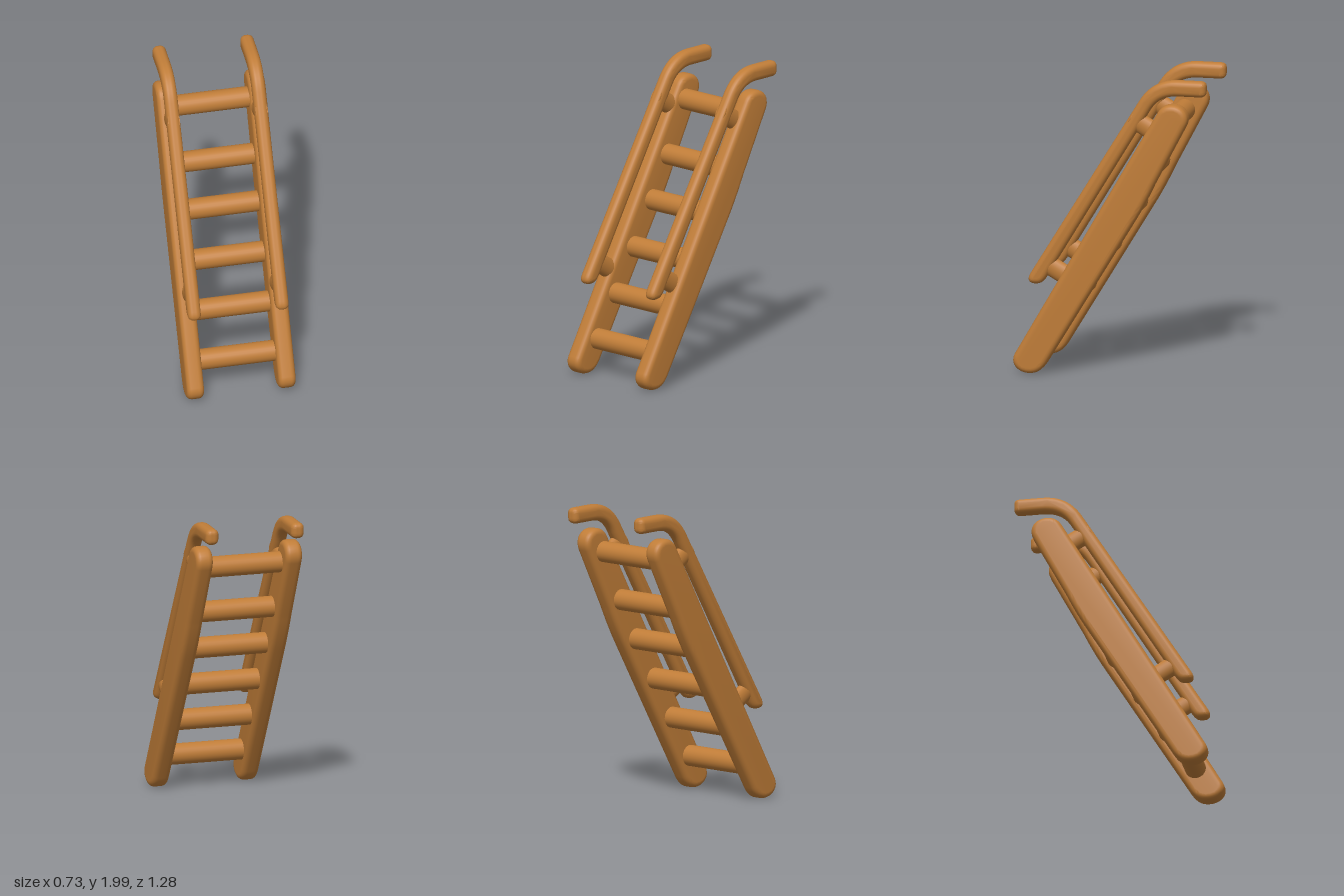
import * as THREE from 'three';
import { toCreasedNormals } from 'three/addons/utils/BufferGeometryUtils.js';

const wood = new THREE.MeshStandardMaterial({ color: 0xc07d38 });
wood.name = 'wood';

// Side profile drawn as (z, y), extruded along x with rounded edges
function sidePlank(shape, width, bevel) {
  const geo = new THREE.ExtrudeGeometry(shape, {
    depth: width - 2 * bevel, curveSegments: 10, bevelEnabled: true,
    bevelThickness: bevel, bevelSize: bevel, bevelOffset: -bevel, bevelSegments: 5,
  });
  geo.translate(0, 0, bevel - width / 2);
  geo.rotateY(-Math.PI / 2);
  return toCreasedNormals(geo, 0.7);
}

// Slanted side rail with blunt round ends
function railShape() {
  const s = new THREE.Shape();
  s.moveTo(0.632, 0.13);
  s.bezierCurveTo(0.665, 0.065, 0.61, 0.006, 0.535, 0.006);
  s.bezierCurveTo(0.48, 0.006, 0.445, 0.035, 0.415, 0.085);
  s.lineTo(-0.15, 1.02);
  s.quadraticCurveTo(-0.23, 1.15, -0.3, 1.3);
  s.lineTo(-0.51, 1.7);
  s.bezierCurveTo(-0.545, 1.77, -0.5, 1.84, -0.42, 1.84);
  s.bezierCurveTo(-0.38, 1.84, -0.345, 1.825, -0.32, 1.78);
  s.closePath();
  return s;
}

// Handrail that bends to horizontal at the top
function handrailShape() {
  const s = new THREE.Shape();
  s.moveTo(0.53, 0.672);
  s.bezierCurveTo(0.56, 0.625, 0.54, 0.6, 0.5, 0.6);
  s.bezierCurveTo(0.46, 0.6, 0.445, 0.615, 0.42, 0.655);
  s.lineTo(-0.265, 1.79);
  s.bezierCurveTo(-0.31, 1.865, -0.37, 1.895, -0.46, 1.895);
  s.lineTo(-0.6, 1.895);
  s.quadraticCurveTo(-0.641, 1.895, -0.641, 1.935);
  s.lineTo(-0.641, 1.965);
  s.quadraticCurveTo(-0.641, 2, -0.6, 2);
  s.lineTo(-0.45, 2);
  s.bezierCurveTo(-0.32, 2, -0.24, 1.93, -0.19, 1.846);
  s.closePath();
  return s;
}

export function createModel() {
  const model = new THREE.Group();
  model.name = 'ladder';
  const add = (geo, name, x, y, z) => {
    const mesh = new THREE.Mesh(geo, wood);
    mesh.name = name;
    mesh.position.set(x, y, z);
    model.add(mesh);
    return mesh;
  };

  const railGeo = sidePlank(railShape(), 0.115, 0.035);
  const handrailGeo = sidePlank(handrailShape(), 0.088, 0.036);
  const bracketGeo = new THREE.CylinderGeometry(0.065, 0.065, 0.19, 24);
  bracketGeo.scale(0.62, 1, 1);

  for (const [side, label] of [[1, 'left'], [-1, 'right']]) {
    add(railGeo, label + 'Rail', side * 0.305, 0, 0);
    add(handrailGeo, label + 'Handrail', side * 0.292, 0, 0);
    // Stubs joining the handrail to the rail, square to the slope
    for (const [name, y, z] of [['LowerBracket', 0.695, 0.355], ['UpperBracket', 1.69, -0.22]]) {
      add(bracketGeo, label + name, side * 0.292, y, z).rotation.x = Math.PI / 3;
    }
  }

  // Round rungs
  const rungGeo = new THREE.CylinderGeometry(0.069, 0.069, 0.54, 28);
  rungGeo.rotateZ(Math.PI / 2);
  const rungs = [[0.23, 0.457], [0.505, 0.283], [0.785, 0.113], [1.068, -0.06], [1.346, -0.207], [1.685, -0.373]];
  rungs.forEach(([y, z], i) => add(rungGeo, 'rung' + (i + 1), 0, y, z));

  return model;
}
